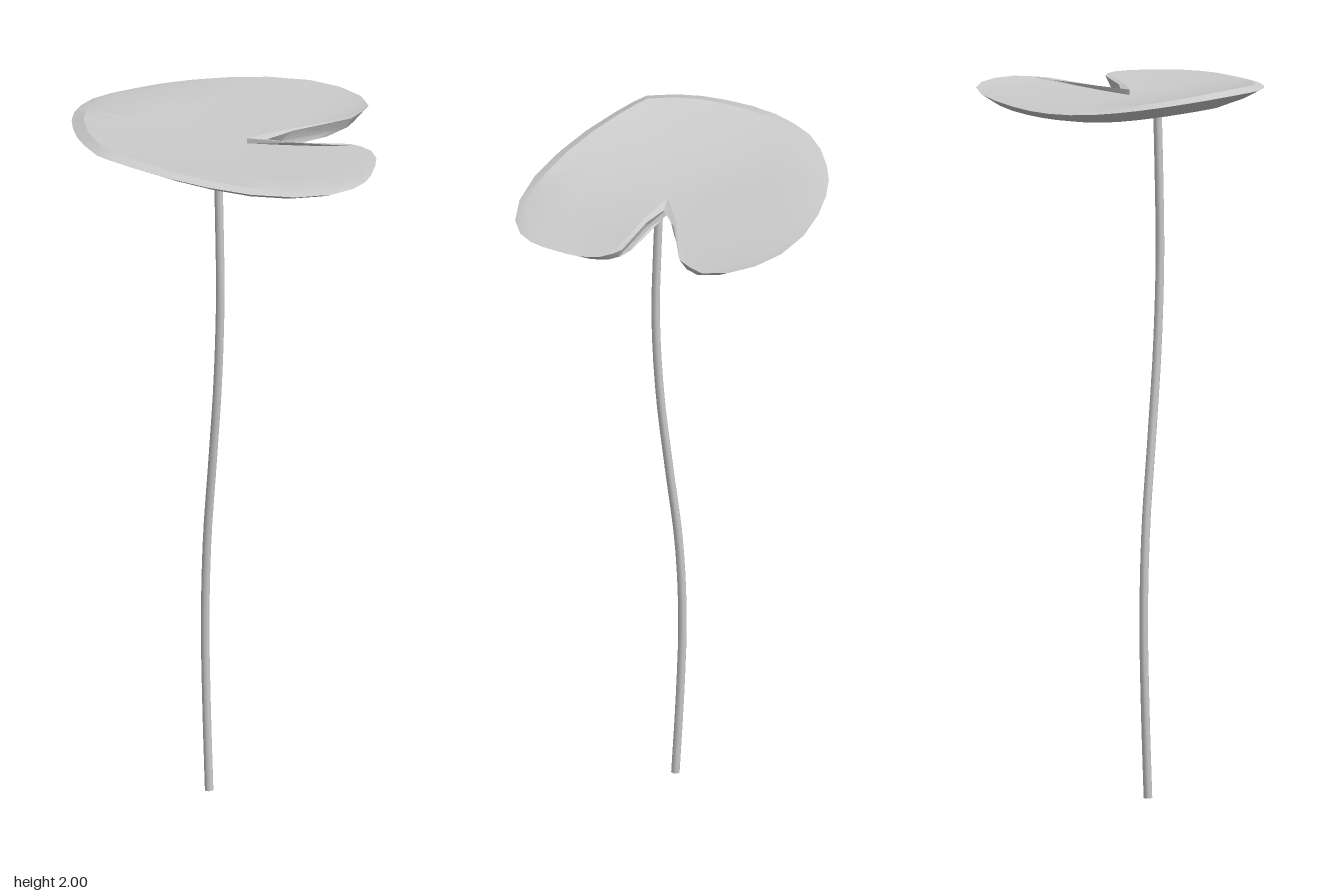
import * as THREE from 'three';
import { toCreasedNormals } from 'three/addons/utils/BufferGeometryUtils.js';

// Leaf edge as [x, z], counterclockwise from the notch's right side to its front side
const EDGE = [
  [0.375, 0.045], [0.415, 0.02], [0.432, -0.045], [0.418, -0.13], [0.375, -0.215], [0.295, -0.3],
  [0.2, -0.365], [0.11, -0.41], [0.03, -0.438], [-0.04, -0.45], [-0.12, -0.453], [-0.19, -0.44],
  [-0.245, -0.41], [-0.295, -0.37], [-0.34, -0.315], [-0.375, -0.255], [-0.405, -0.19],
  [-0.425, -0.12], [-0.435, -0.04], [-0.42, 0], [-0.39, 0.06], [-0.335, 0.155], [-0.265, 0.25],
  [-0.18, 0.34], [-0.08, 0.41], [0.015, 0.447], [0.085, 0.45], [0.135, 0.433], [0.17, 0.407],
  [0.215, 0.36], [0.245, 0.32], [0.26, 0.27], [0.252, 0.228],
];
const CENTRE = [0.02, 0.015];
// Notch sides: edge point, then the inset point on the upper and lower faces
const NOTCH_START = [
  [[0.07, 0.04], CENTRE],
  [[0.16, 0.035], [0.13, 0.022]],
  [[0.33, 0.062], [0.3, 0.042]],
];
const NOTCH_END = [
  [[0.238, 0.2], [0.235, 0.218]],
  [[0.118, 0.1], [0.1, 0.1]],
];

const mix = (a, b, t) => [a[0] + (b[0] - a[0]) * t, a[1] + (b[1] - a[1]) * t];
// The blade lifts toward its right-hand side (-x)
const lift = (x) => 0.3 * Math.min(0, x) ** 2;

function leafGeometry() {
  const outline = [...NOTCH_START, ...EDGE.map((p) => [p, mix(CENTRE, p, 0.93)]), ...NOTCH_END];
  const n = outline.length;
  // Cross-section rings from the middle of the top, over the edge, to the middle underneath
  const rings = [
    { t: 0, y: 1.936 }, { t: 0.35, y: 1.939 }, { t: 0.7, y: 1.944 }, { t: 1, y: 1.951 },
    { edge: true, y: 1.943 },
    { t: 0.94, y: 1.918 }, { t: 0.75, y: 1.904 }, { t: 0.4, y: 1.9 }, { t: 0, y: 1.9 },
  ];
  const pos = [];
  for (const r of rings) {
    for (const [edge, inset] of outline) {
      const [x, z] = r.edge ? edge : mix(CENTRE, inset, r.t);
      const tip = r.edge ? 0.03 * Math.max(0, x) : 0;
      pos.push(x, r.y + lift(x) * (r.edge ? 0.8 : 1) + tip, z);
    }
  }
  const index = [];
  for (let k = 0; k < rings.length - 1; k++) {
    for (let i = 0; i < n; i++) {
      const j = (i + 1) % n;
      const a = k * n + i, b = k * n + j, c = a + n, d = b + n;
      if (rings[k].t !== 0) index.push(a, d, b);
      if (rings[k + 1].t !== 0) index.push(a, c, d);
    }
  }
  const g = new THREE.BufferGeometry();
  g.setAttribute('position', new THREE.Float32BufferAttribute(pos, 3));
  g.setIndex(index);
  return toCreasedNormals(g, 0.4);
}

function stemGeometry() {
  // Gentle S-curve as [y, z]
  const path = [[0, -0.03], [0.25, -0.043], [0.5, -0.05], [0.75, -0.04], [1, -0.012],
    [1.25, 0.014], [1.5, 0.026], [1.7, 0.022], [1.915, 0.014]];
  const curve = new THREE.CatmullRomCurve3(path.map(([y, z]) => new THREE.Vector3(-0.075, y, z)));
  return new THREE.TubeGeometry(curve, 24, 0.012, 8);
}

export function createModel() {
  const material = new THREE.MeshStandardMaterial({ color: 0xcccccc, side: THREE.DoubleSide });
  const model = new THREE.Group();
  model.name = 'lilyPad';

  const leaf = new THREE.Mesh(leafGeometry(), material);
  leaf.name = 'leaf';
  const stem = new THREE.Mesh(stemGeometry(), material);
  stem.name = 'stem';
  // Closed foot of the stem
  const foot = new THREE.Mesh(new THREE.CircleGeometry(0.012, 8), material);
  foot.name = 'stemFoot';
  foot.rotation.x = Math.PI / 2;
  foot.position.set(-0.075, 0.001, -0.03);

  model.add(leaf, stem, foot);
  return model;
}
